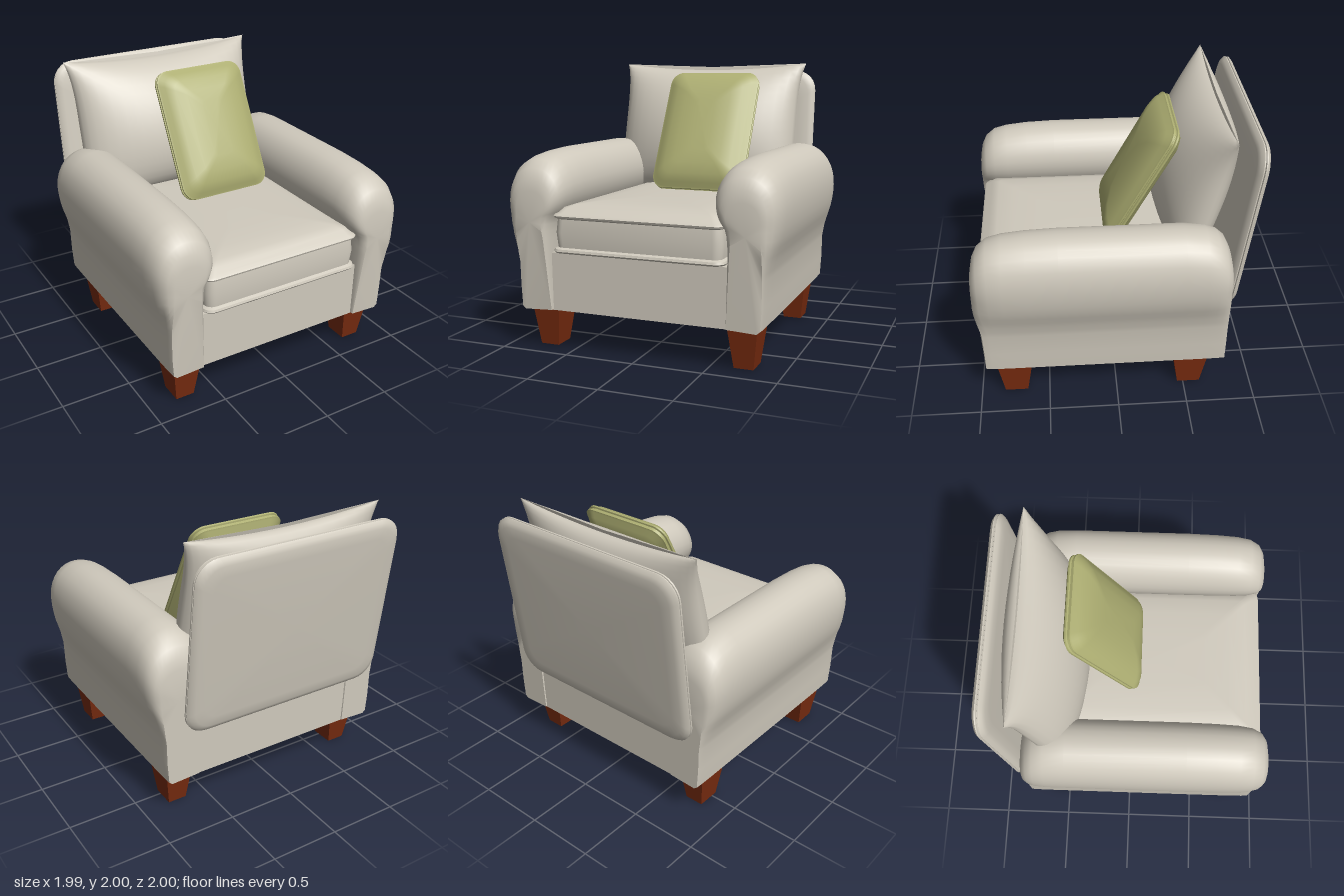
import * as THREE from 'three';
import { toCreasedNormals } from 'three/addons/utils/BufferGeometryUtils.js';

const V = (x, y, z) => new THREE.Vector3(x, y, z);
const smooth = (t, a, b) => THREE.MathUtils.smoothstep(t, a, b);

// Closed solid through a list of equal-length rings, capped at both ends
function loft(rings, crease = 0.6) {
  const n = rings[0].length, pts = rings.flat(), faces = [];
  for (let i = 0; i < rings.length - 1; i++)
    for (let j = 0; j < n; j++) {
      const a = i * n + j, b = i * n + (j + 1) % n;
      faces.push([a, b, b + n], [a, b + n, a + n]);
    }
  [[0, true], [rings.length - 1, false]].forEach(([i, flip]) => {
    const c = pts.length;
    pts.push(rings[i].reduce((s, p) => s.add(p), V(0, 0, 0)).divideScalar(n));
    for (let j = 0; j < n; j++) {
      const a = i * n + j, b = i * n + (j + 1) % n;
      faces.push(flip ? [c, b, a] : [c, a, b]);
    }
  });
  // Turn all faces outward
  let volume = 0;
  for (const [a, b, c] of faces) volume += pts[a].dot(V(0, 0, 0).crossVectors(pts[b], pts[c]));
  if (volume < 0) faces.forEach((f) => f.reverse());
  const g = new THREE.BufferGeometry().setFromPoints(pts);
  g.setIndex(faces.flat());
  return toCreasedNormals(g, crease);
}

// Rounded-rectangle slab; levels are [z, inset]
function slab(hw, hh, radius, levels, crease) {
  return loft(levels.map(([z, inset]) => {
    const r = Math.max(radius - inset * 0.4, 0.03), ring = [];
    for (let q = 0; q < 4; q++) {
      const sx = q === 0 || q === 3 ? 1 : -1, sy = q < 2 ? 1 : -1;
      for (let k = 0; k <= 6; k++) {
        const a = (q + k / 6) * Math.PI / 2;
        ring.push(V(sx * (hw - inset - r) + r * Math.cos(a), sy * (hh - inset - r) + r * Math.sin(a), z));
      }
    }
    return ring;
  }), crease);
}

// Rolled arm: side profile carried from back to front, rounded at both ends
function armGeometry(side) {
  const roll = new THREE.CatmullRomCurve3([
    [0.89, 0.62], [0.92, 0.74], [0.97, 0.88], [0.993, 1.03], [0.985, 1.17], [0.94, 1.29], [0.85, 1.37],
    [0.75, 1.39], [0.64, 1.36], [0.56, 1.27], [0.525, 1.14], [0.55, 1.02], [0.61, 0.92], [0.63, 0.8],
  ].map(([x, y]) => V(x, y, 0))).getPoints(32);
  const profile = [V(0.63, 0.29, 0), V(0.85, 0.28, 0), V(0.875, 0.3, 0), V(0.885, 0.45, 0), ...roll];
  const stations = [ // z, width scale, height scale
    [-0.78, 0.66, 0.45], [-0.765, 0.8, 0.6], [-0.73, 0.91, 0.77], [-0.68, 0.97, 0.88], [-0.6, 1, 0.96],
    [-0.45, 1, 1], [0.4, 1, 1], [0.62, 0.99, 0.98], [0.78, 0.97, 0.94], [0.88, 0.92, 0.88],
    [0.95, 0.81, 0.75], [0.985, 0.66, 0.58], [1, 0.48, 0.4],
  ];
  return loft(stations.map(([z, sx, sy]) => profile.map((p) => {
    const upper = smooth(p.y, 0.55, 1.0);
    const wide = 1 + (sx - 1) * (0.12 + 0.88 * upper);
    const x = 0.76 + (p.x - 0.76) * wide;
    const y = p.y > 0.95 ? 0.95 + (p.y - 0.95) * sy : p.y;
    return V(side * x, y, z > 0 ? z * (0.945 + 0.05 * smooth(p.y, 0.55, 0.9)) : z);
  })), 0.7);
}

// Plump back cushion with drawn-out corners and a leaning seam
function backCushionGeometry() {
  const rings = [];
  for (let i = 0; i <= 20; i++) {
    const t = (i / 20 - 0.5) * Math.PI, v = Math.sin(t), ring = [];
    for (let j = 0; j < 40; j++) {
      const a = j / 40 * Math.PI * 2, u = Math.cos(a), s = Math.sin(a);
      const x = -0.055 + u * (0.73 + 0.05 * Math.abs(v) ** 4);
      const y = 1.47 + v * (0.48 + 0.05 * u * u);
      const bulge = s * Math.cos(t) * (s > 0 ? 0.31 : 0.2);
      ring.push(V(x, y, -0.77 + (2 - y) * 0.25 + bulge));
    }
    rings.push(ring);
  }
  return loft(rings, 1);
}

export function createModel() {
  const model = new THREE.Group();
  const mat = (name, color) => Object.assign(new THREE.MeshStandardMaterial({ color }), { name });
  const fabric = mat('cream fabric', 0xd0cabd);
  const green = mat('olive fabric', 0xadae72);
  const wood = mat('red brown wood', 0x7a2c10);
  const add = (name, geometry, material, x = 0, y = 0, z = 0, rx = 0) => {
    const mesh = new THREE.Mesh(geometry, material);
    mesh.name = name;
    mesh.position.set(x, y, z);
    mesh.rotation.x = rx;
    model.add(mesh);
    return mesh;
  };

  // Base between the arms
  add('base', new THREE.BoxGeometry(1.3, 0.41, 1.69), fabric, 0, 0.49, 0.075);

  // Arms and tapered square legs
  for (const side of [1, -1]) {
    add(side > 0 ? 'leftArm' : 'rightArm', armGeometry(side), fabric);
    for (const z of [0.745, -0.54]) {
      const leg = new THREE.CylinderGeometry(Math.SQRT1_2, 0.65 * Math.SQRT1_2, 0.29, 4, 1).toNonIndexed();
      leg.rotateY(Math.PI / 4).scale(0.21, 1, 0.255);
      leg.computeVertexNormals();
      add(z > 0 ? 'frontLeg' : 'backLeg', leg, wood, side * 0.725, 0.145, z);
    }
  }

  // Seat cushion with piping along both edges and a soft crown
  add('seatCushion', slab(0.625, 0.835, 0.07, [
    [0.69, 0.05], [0.7, 0.01], [0.712, 0], [0.728, 0.005], [0.738, 0.025], [0.84, 0.015], [0.935, 0.025],
    [0.945, 0.005], [0.958, 0], [0.97, 0.01], [0.978, 0.03], [1.01, 0.06], [1.03, 0.12], [1.043, 0.24], [1.05, 0.42],
  ], 0.7), fabric, 0, 0, 0.13, -Math.PI / 2);

  // Leaning back panel with a seam around its rim
  add('backPanel', slab(0.805, 0.65, 0.16, [
    [-0.048, 0.12], [-0.044, 0.05], [-0.032, 0.018], [-0.012, 0], [-0.004, 0.002], [0, 0.012],
    [0.004, 0.002], [0.012, 0], [0.032, 0.018], [0.044, 0.05], [0.048, 0.12],
  ], 0.8), fabric, -0.045, 1.3, -0.885, -0.125);

  add('backCushion', backCushionGeometry(), fabric);

  // Throw pillow with a piped rim
  const half = [[0.004, 0.01], [0.01, 0], [0.022, 0], [0.028, 0.012], [0.055, 0.04], [0.085, 0.1], [0.105, 0.18], [0.115, 0.28]];
  const levels = [...half.map(([z, i]) => [-z, i]).reverse(), ...half];
  add('throwPillow', slab(0.36, 0.49, 0.1, levels, 0.7), green, 0.09, 1.485, -0.195, -0.495);

  return model;
}
